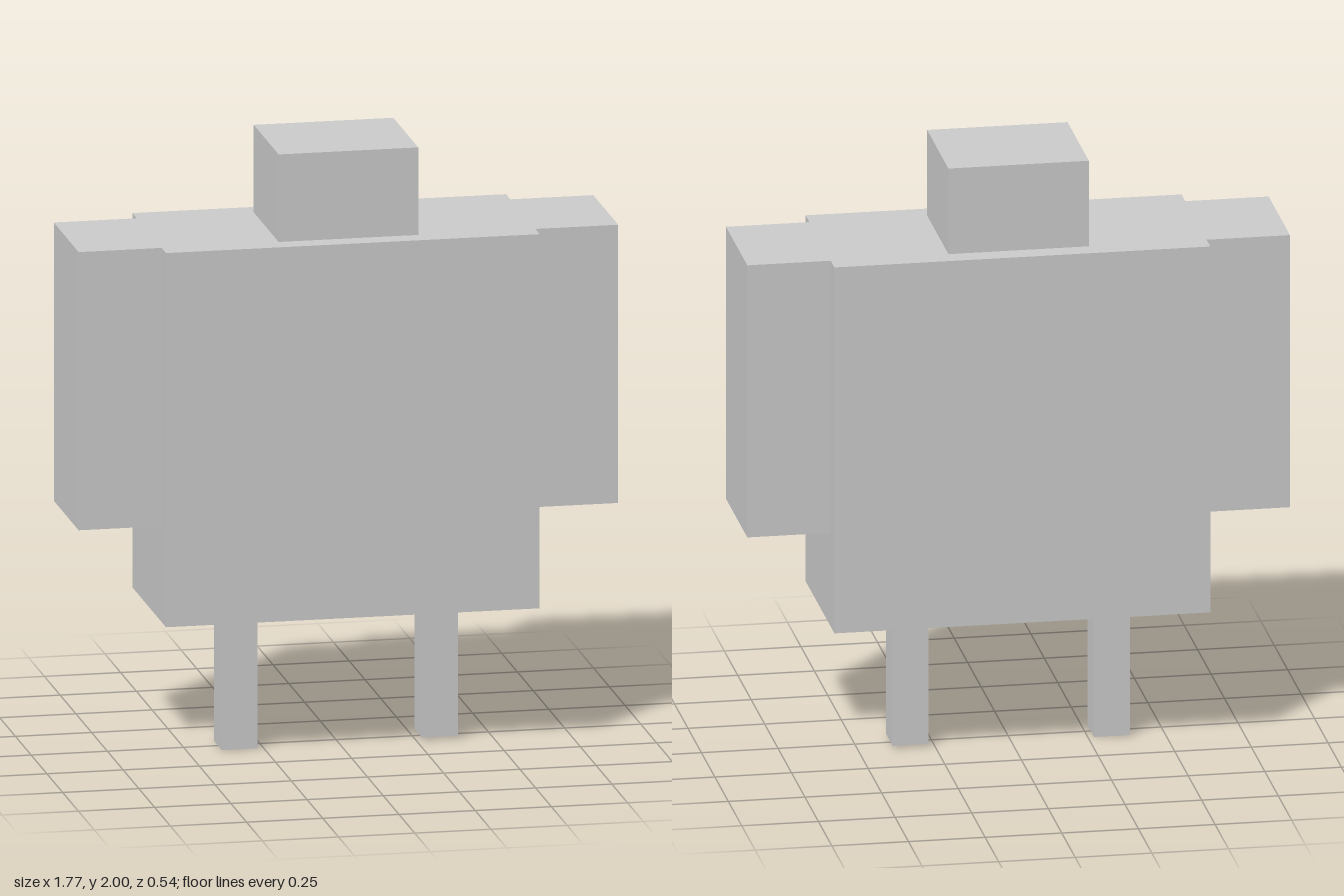
import * as THREE from 'three';

const material = new THREE.MeshStandardMaterial({ color: 0xcccccc, flatShading: true });

// Box given by its extents in x and y, and its depth centred on z = 0
function block(name, x0, x1, y0, y1, depth) {
  const mesh = new THREE.Mesh(new THREE.BoxGeometry(x1 - x0, y1 - y0, depth), material);
  mesh.position.set((x0 + x1) / 2, (y0 + y1) / 2, 0);
  mesh.name = name;
  return mesh;
}

export function createModel() {
  const model = new THREE.Group();
  model.name = 'blockFigure';

  model.add(block('torso', -0.613, 0.613, 0.47, 1.71, 0.535));
  model.add(block('head', -0.229, 0.229, 1.71, 2, 0.396));

  // Arms flush with the shoulders
  model.add(block('leftArm', 0.613, 0.885, 0.788, 1.71, 0.396));
  model.add(block('rightArm', -0.885, -0.613, 0.788, 1.71, 0.396));

  // Thin legs, the left one slightly shorter
  model.add(block('leftLeg', 0.27, 0.387, 0.008, 0.47, 0.124));
  model.add(block('rightLeg', -0.387, -0.27, 0, 0.47, 0.124));

  return model;
}
